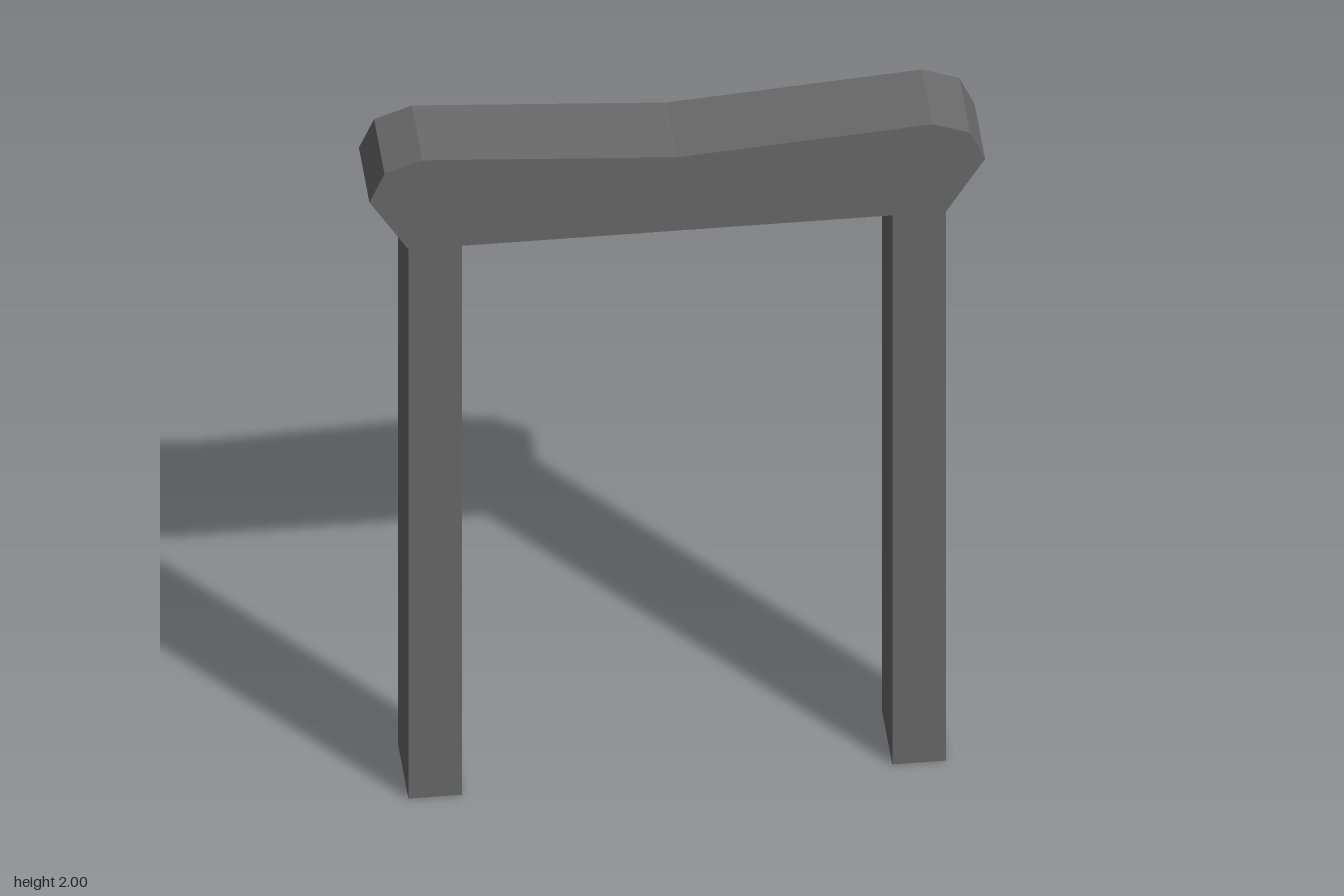
import * as THREE from 'three';

const DEPTH = 0.227;
const BEAM_BOTTOM = 1.723;
const LEG_INNER = 0.54;
const LEG_OUTER = 0.675;

export function createModel() {
  const gate = new THREE.Group();
  gate.name = 'gateway';
  const material = new THREE.MeshStandardMaterial({ color: 0x6a6a6a, flatShading: true });

  // Crossbeam: half profile from underside to raised end, mirrored over a dipped centre
  const half = [
    [LEG_OUTER, BEAM_BOTTOM],
    [0.773, 1.88],
    [0.735, 1.965],
    [0.64, 2.0],
  ];
  const profile = [
    ...half,
    [0, 1.953],
    ...half.map(([x, y]) => [-x, y]).reverse(),
  ].map(([x, y]) => new THREE.Vector2(x, y));
  const beamGeometry = new THREE.ExtrudeGeometry(new THREE.Shape(profile), {
    depth: DEPTH,
    bevelEnabled: false,
  });
  beamGeometry.translate(0, 0, -DEPTH / 2);
  const beam = new THREE.Mesh(beamGeometry, material);
  beam.name = 'crossbeam';
  gate.add(beam);

  // Two square posts carrying the beam
  const legGeometry = new THREE.BoxGeometry(LEG_OUTER - LEG_INNER, BEAM_BOTTOM, DEPTH);
  for (const [name, side] of [['leftPost', 1], ['rightPost', -1]]) {
    const post = new THREE.Mesh(legGeometry, material);
    post.name = name;
    post.position.set((side * (LEG_INNER + LEG_OUTER)) / 2, BEAM_BOTTOM / 2, 0);
    gate.add(post);
  }

  return gate;
}
